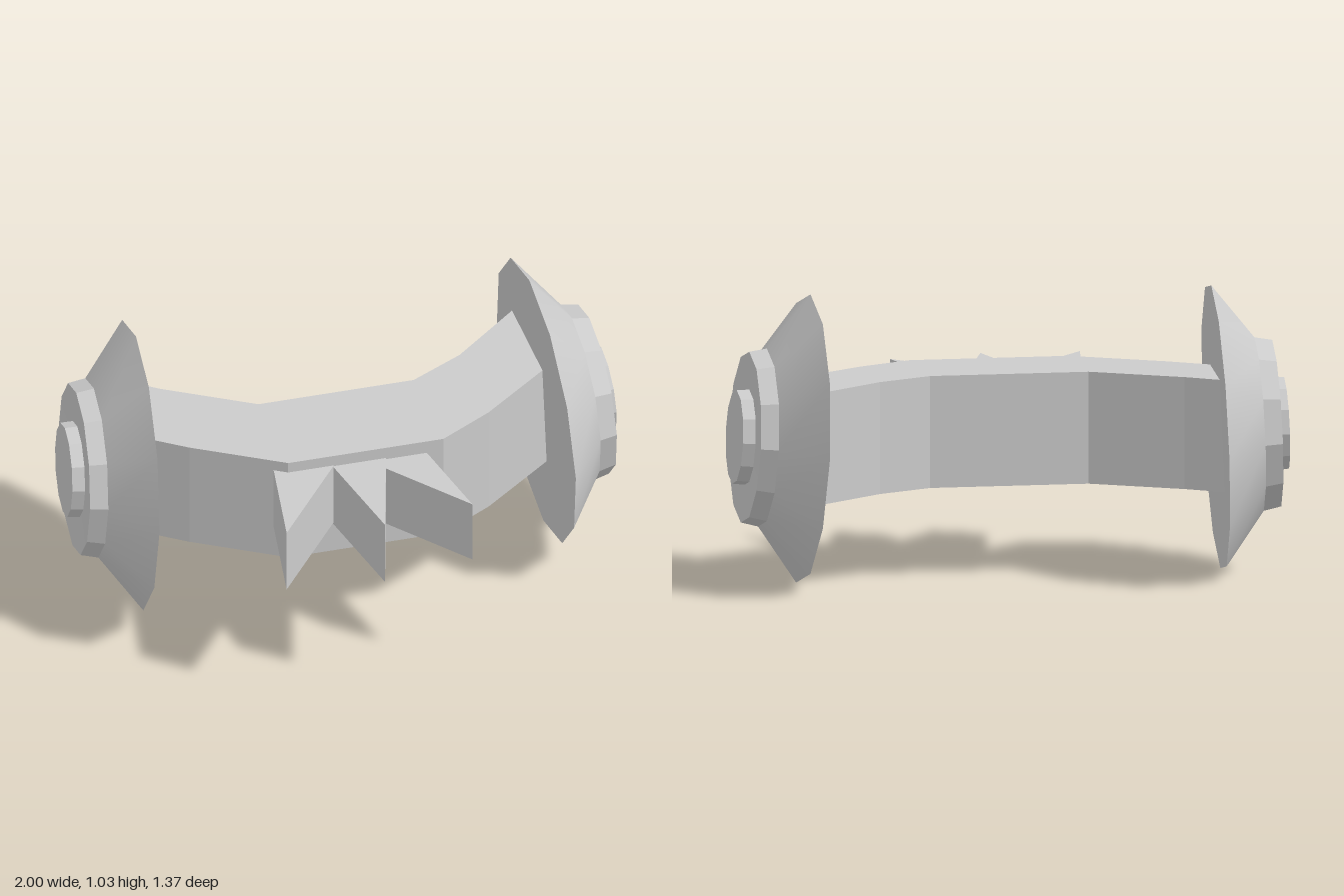
import * as THREE from 'three';
import { toCreasedNormals } from 'three/addons/utils/BufferGeometryUtils.js';

const material = new THREE.MeshStandardMaterial({ color: 0xcccccc });

// Upright prism from a plan outline of [x, z] corners
function prism(name, outline, bottom, top) {
  const shape = new THREE.Shape(outline.map(([x, z]) => new THREE.Vector2(x, -z)));
  const geometry = new THREE.ExtrudeGeometry(shape, { depth: top - bottom, bevelEnabled: false });
  geometry.rotateX(-Math.PI / 2).translate(0, bottom, 0);
  const mesh = new THREE.Mesh(geometry, material);
  mesh.name = name;
  return mesh;
}

// Twelve-sided end disc: flat inner face, conical flange, stepped hub and cap
function endDisc(name, center, axis) {
  const profile = [
    [0, 0], [0.515, 0], [0.318, 0.147], [0.305, 0.21], [0.17, 0.203], [0.167, 0.248], [0, 0.248],
  ].map(([r, h]) => new THREE.Vector2(r, h));
  const geometry = toCreasedNormals(new THREE.LatheGeometry(profile, 12), 0.42);
  const mesh = new THREE.Mesh(geometry, material);
  mesh.name = name;
  mesh.position.set(...center);
  mesh.quaternion.setFromUnitVectors(new THREE.Vector3(0, 1, 0), new THREE.Vector3(...axis).normalize());
  return mesh;
}

export function createModel() {
  const model = new THREE.Group();
  model.name = 'spikedBar';

  // Bent beam joining the two discs
  model.add(prism('beam', [
    [-0.79, -0.06], [-0.6, 0.08], [-0.29, 0.27], [0.28, 0.27], [0.48, 0.15], [0.79, -0.1],
    [0.79, -0.5], [0.48, -0.23], [0.28, -0.12], [-0.29, -0.12], [-0.6, -0.31], [-0.79, -0.46],
  ], 0.32, 0.72));

  // Wedge spikes on the front, rooted inside the beam
  const spikes = [
    ['rightSpike', [[-0.329, 0.2], [-0.4, 0.64], [-0.07, 0.2]], 0.44, 0.68],
    ['middleSpike', [[-0.14, 0.2], [-0.05, 0.68], [0.09, 0.2]], 0.435, 0.677],
    ['leftSpike', [[-0.045, 0.2], [0.285, 0.63], [0.206, 0.2]], 0.438, 0.672],
  ];
  for (const spike of spikes) model.add(prism(...spike));

  // Slightly tilted end discs
  model.add(endDisc('leftDisc', [0.745, 0.517, -0.17], [1, 0.05, 0]));
  model.add(endDisc('rightDisc', [-0.74, 0.517, -0.16], [-1, 0.04, -0.093]));

  return model;
}
